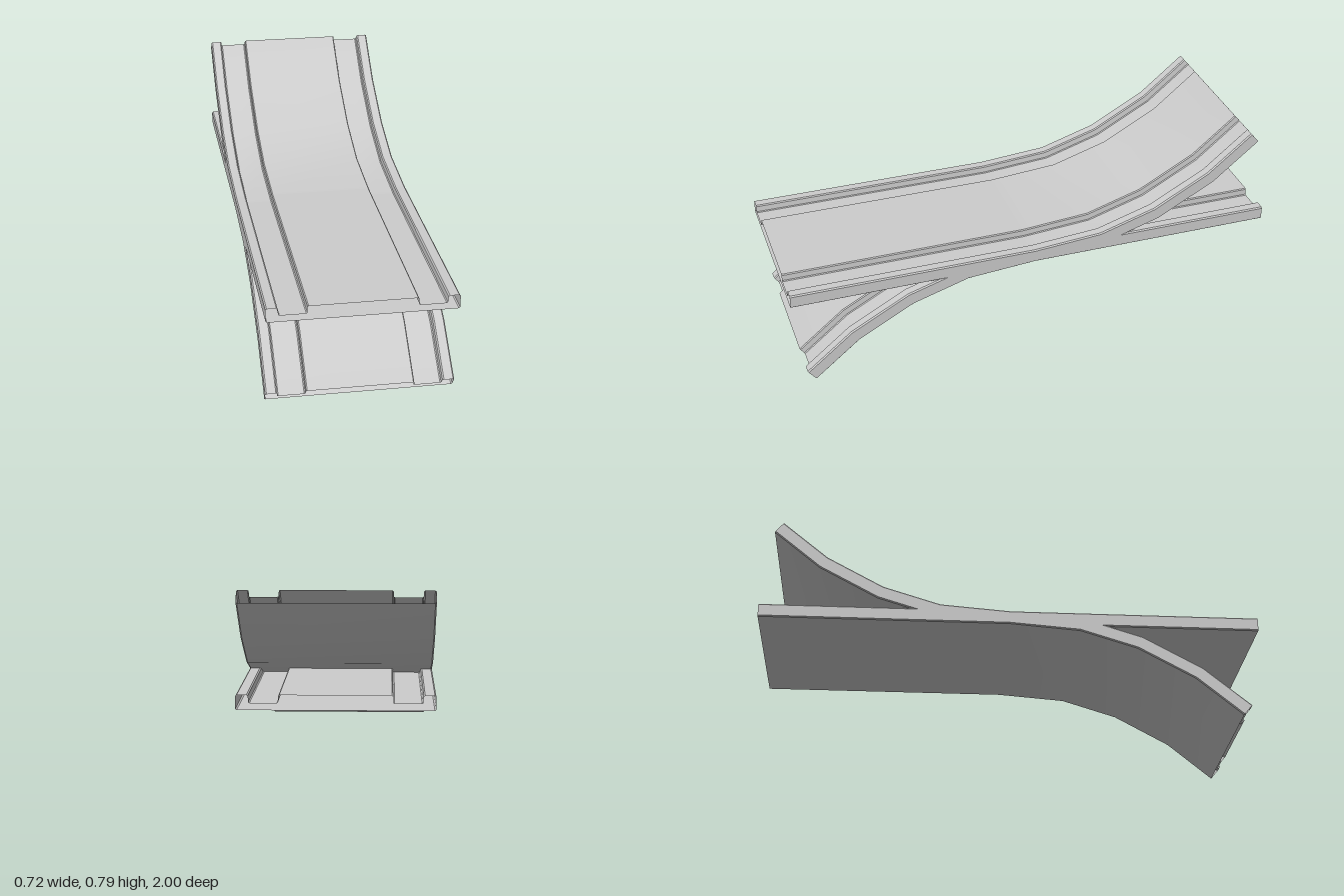
import * as THREE from 'three';
import { toCreasedNormals } from 'three/addons/utils/BufferGeometryUtils.js';

const CENTRE_Y = 0.398;

// Right half of the track section (x, height), from the bottom edge up to the raised middle
const half = [
  [0.355, -0.0275], [0.36, -0.0235], [0.36, 0.0225], [0.355, 0.0275], // outer wall
  [0.32, 0.0275], [0.315, 0.0235], [0.313, 0.0005], [0.309, -0.0025], // lip and groove wall
  [0.211, -0.0025], [0.207, 0.0005], [0.206, 0.0235], [0.202, 0.0275], // groove floor and step
];
const section = [...half, ...half.map(([x, y]) => [-x, y]).reverse()];

// Sweeps the section along a path of [z, y] points with mitred joints; the ends stay open
function sweepTrack(path) {
  const pts = path.map(([z, y]) => new THREE.Vector2(z, y));
  const positions = [];
  const n = section.length;
  pts.forEach((p, j) => {
    const a = pts[Math.max(j - 1, 0)], b = pts[Math.min(j + 1, pts.length - 1)];
    const dirIn = (j > 0 ? p.clone().sub(a) : b.clone().sub(p)).normalize();
    const dirOut = (j < pts.length - 1 ? b.clone().sub(p) : dirIn.clone()).normalize();
    const t = dirIn.clone().add(dirOut).normalize();
    const stretch = 1 / t.dot(dirIn);
    for (const [x, h] of section) {
      positions.push(x, p.y - t.x * h * stretch, p.x + t.y * h * stretch);
    }
  });
  const index = [];
  for (let j = 0; j < pts.length - 1; j++) {
    for (let i = 0; i < n; i++) {
      const a = j * n + i, b = j * n + (i + 1) % n;
      index.push(a, a + n, b, b, a + n, b + n);
    }
  }
  const geo = new THREE.BufferGeometry();
  geo.setAttribute('position', new THREE.Float32BufferAttribute(positions, 3));
  geo.setIndex(index);
  return toCreasedNormals(geo, 0.5);
}

export function createModel() {
  const group = new THREE.Group();
  const material = new THREE.MeshStandardMaterial({ color: 0xcccccc, side: THREE.DoubleSide });

  const addTrack = (name, path) => {
    const mesh = new THREE.Mesh(sweepTrack(path), material);
    mesh.name = name;
    group.add(mesh);
  };

  // Level track
  addTrack('straightTrack', [[1, CENTRE_Y], [-1, CENTRE_Y]]);

  // S-shaped ramp: the same bend below at the front and above at the back
  const bend = [[0.937, 0.375], [0.752, 0.222], [0.52, 0.095], [0.285, 0.022]];
  addTrack('curvedTrack', [
    ...bend.map(([z, d]) => [z, CENTRE_Y - d]),
    [0, CENTRE_Y],
    ...bend.map(([z, d]) => [-z, CENTRE_Y + d]).reverse(),
  ]);

  return group;
}
